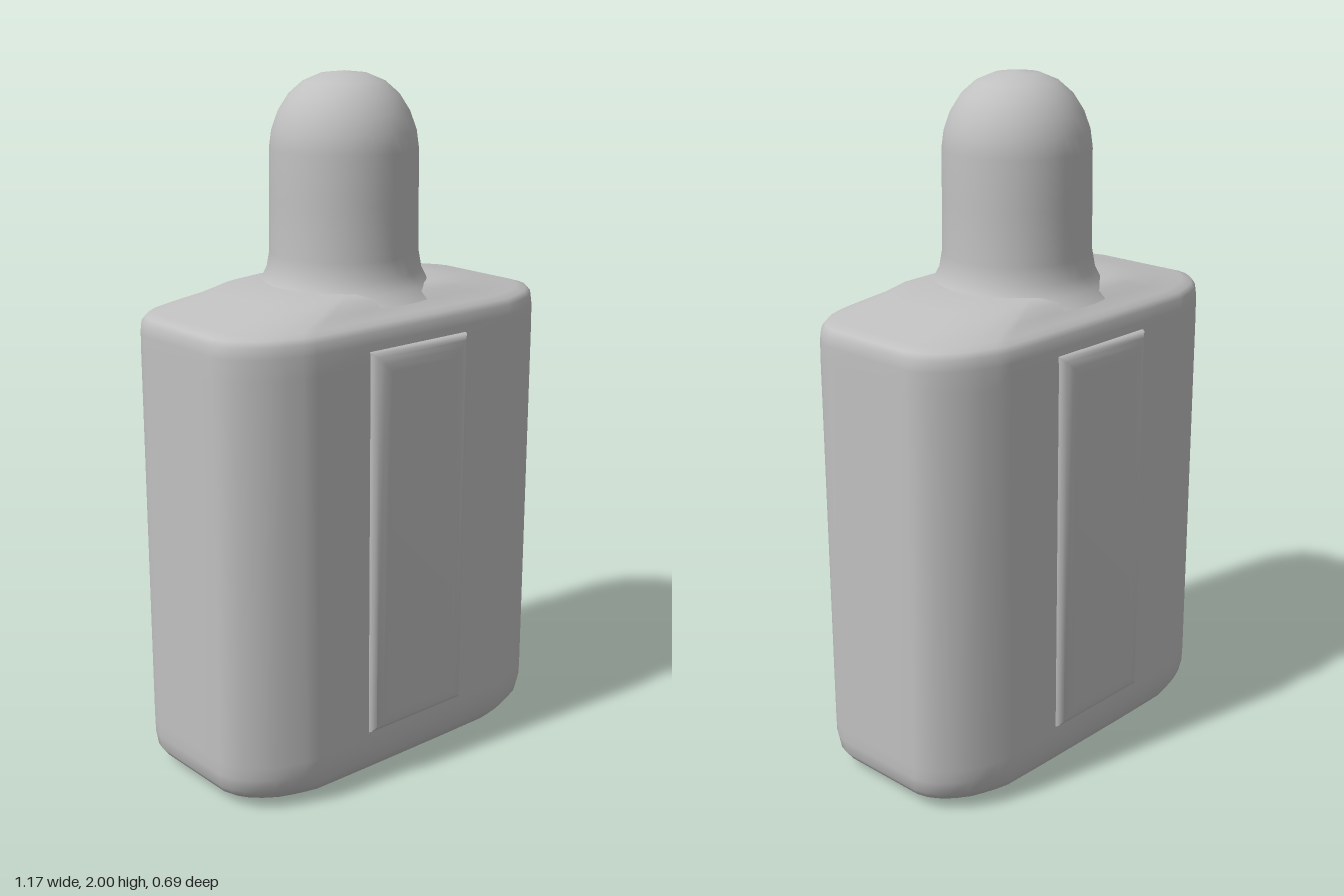
import * as THREE from 'three';
import { toCreasedNormals } from 'three/addons/utils/BufferGeometryUtils.js';

const grey = new THREE.MeshStandardMaterial({ color: 0xc0c0c0 });
grey.name = 'light grey';

// Quarter of the body's outline as seen from above, at full width
const QUARTER = [[0.585, 0.07], [0.585, 0.15], [0.575, 0.185], [0.555, 0.217], [0.525, 0.247],
  [0.485, 0.276], [0.44, 0.295], [0.4, 0.308], [0.36, 0.318], [0.18, 0.32]];

function outline() {
  const back = [...QUARTER].reverse();
  return [
    ...QUARTER,
    ...back.map(([x, z]) => [-x, z]),
    ...QUARTER.map(([x, z]) => [-x, -z]),
    ...back.map(([x, z]) => [x, -z]),
  ];
}

// Stack scaled outlines; each ring is [y, half width, half depth]
function loft(rings) {
  const points = outline(), n = points.length;
  const positions = [], indices = [];
  rings.forEach(([y, w, d], r) => {
    points.forEach(([x, z], i) => {
      positions.push(x * w / 0.585, y, z * d / 0.32);
      if (r === rings.length - 1) return;
      const a = r * n + i, b = r * n + (i + 1) % n;
      indices.push(a, a + n, b, b, a + n, b + n);
    });
  });
  const geometry = new THREE.BufferGeometry();
  geometry.setAttribute('position', new THREE.Float32BufferAttribute(positions, 3));
  geometry.setIndex(indices);
  geometry.computeVertexNormals();
  return geometry;
}

function part(name, geometry) {
  const mesh = new THREE.Mesh(geometry, grey);
  mesh.name = name;
  return mesh;
}

export function createModel() {
  const model = new THREE.Group();
  model.name = 'bottle';

  // Flask body with softened base and gently rising shoulders
  model.add(part('body', loft([
    [0, 0.001, 0.001], [0, 0.45, 0.22], [0.003, 0.5, 0.25], [0.015, 0.535, 0.272],
    [0.035, 0.562, 0.292], [0.06, 0.58, 0.308], [0.1, 0.585, 0.318], [0.14, 0.585, 0.32],
    [1.25, 0.585, 0.32], [1.31, 0.585, 0.318], [1.34, 0.583, 0.313], [1.355, 0.572, 0.303],
    [1.365, 0.54, 0.285], [1.385, 0.43, 0.255], [1.405, 0.35, 0.235], [1.42, 0.24, 0.2],
    [1.425, 0.1, 0.1],
  ])));

  // Neck flare, round stopper and dome
  const profile = [[0.27, 1.385], [0.24, 1.415], [0.222, 1.45], [0.213, 1.5], [0.211, 1.65], [0.21, 1.79],
    [0.203, 1.84], [0.185, 1.89], [0.155, 1.937], [0.115, 1.972], [0.065, 1.993], [0, 2]];
  model.add(part('stopper', new THREE.LatheGeometry(
    profile.map(([x, y]) => new THREE.Vector2(x, y)), 40)));

  // Shallow raised panel on the front and the back
  const shape = new THREE.Shape();
  shape.moveTo(-0.12, 0.22);
  shape.lineTo(0.12, 0.22);
  shape.lineTo(0.12, 1.23);
  shape.lineTo(-0.12, 1.23);
  shape.closePath();
  const panel = toCreasedNormals(new THREE.ExtrudeGeometry(shape, {
    depth: 0.02, bevelThickness: 0.028, bevelSize: 0.06, bevelSegments: 4,
  }), 0.7);
  for (const [name, turn] of [['frontPanel', 0], ['backPanel', Math.PI]]) {
    const mesh = part(name, panel);
    const side = Math.cos(turn);
    mesh.rotation.y = turn;
    mesh.position.z = side * 0.297;
    model.add(mesh);
  }
  return model;
}
